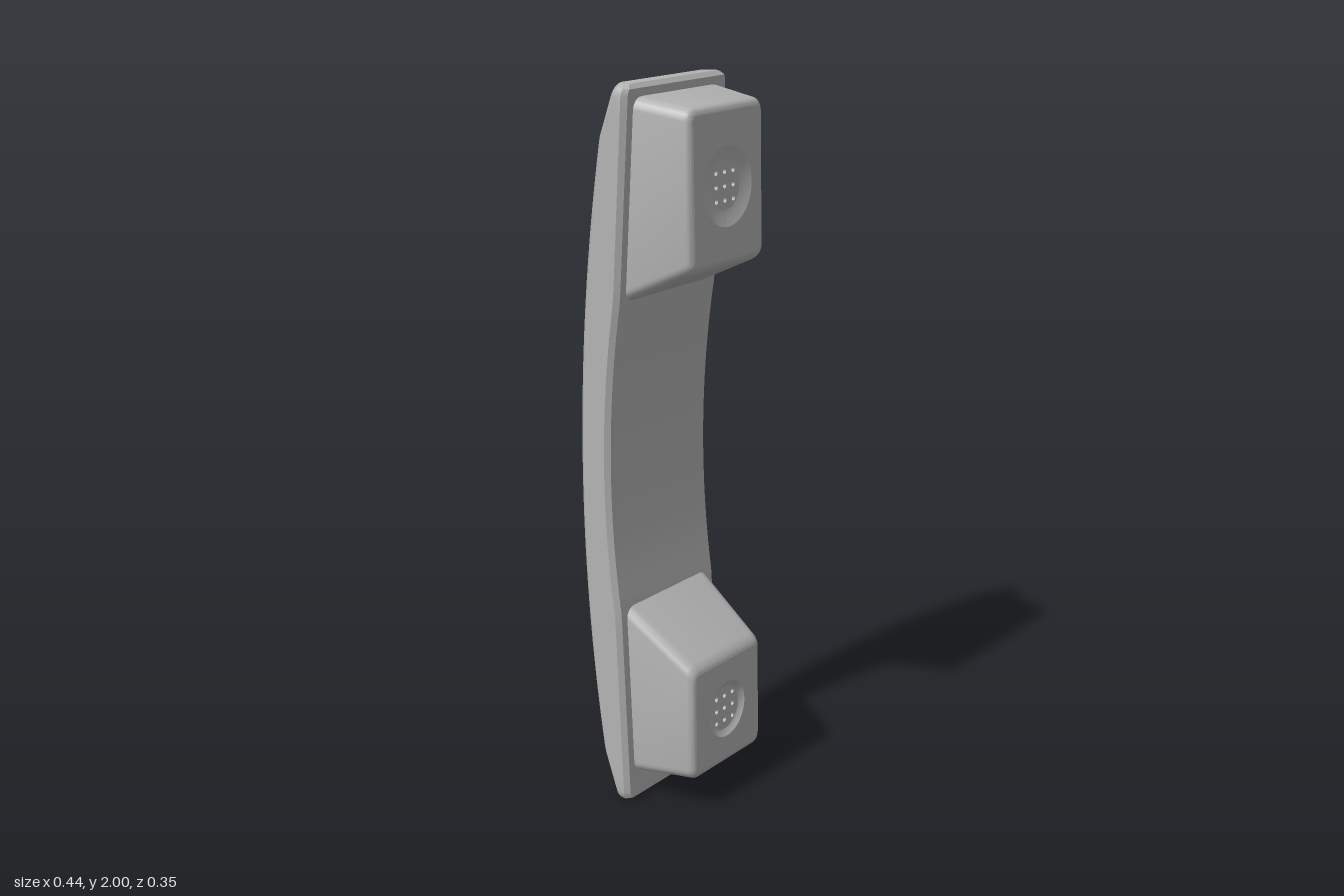
import * as THREE from 'three';
import { toCreasedNormals } from 'three/addons/utils/BufferGeometryUtils.js';

const grey = new THREE.MeshStandardMaterial({ color: 0xb3b3b3 });
grey.name = 'grey plastic';

const lerp = THREE.MathUtils.lerp;

// Skin a list of closed rings of [x, y, z]; optionally close both ends.
function loft(rings, caps) {
  const n = rings[0].length, index = [];
  for (let i = 0; i < rings.length - 1; i++) {
    for (let j = 0; j < n; j++) {
      const k = (j + 1) % n;
      const a = i * n + j, b = i * n + k, c = b + n, d = a + n;
      index.push(a, b, d, b, c, d);
    }
  }
  if (caps) {
    const top = (rings.length - 1) * n;
    for (let j = 1; j < n - 1; j++) index.push(0, j + 1, j, top, top + j, top + j + 1);
  }
  const geo = new THREE.BufferGeometry();
  geo.setAttribute('position', new THREE.Float32BufferAttribute(rings.flat(2), 3));
  geo.setIndex(index);
  return toCreasedNormals(geo, 0.4);
}

function part(name, geo) {
  const mesh = new THREE.Mesh(geo, grey);
  mesh.name = name;
  return mesh;
}

// Curved, bevelled handle built from cross-sections along y.
function makeHandle() {
  const ends = [0, 0.002, 0.006, 0.012, 0.02, 0.03, 0.08, 0.14];
  const ys = [...ends];
  for (let i = 1; i < 32; i++) ys.push(lerp(0.14, 1.86, i / 32));
  ys.push(...ends.map(e => 2 - e).reverse());
  const r = 0.03;
  const rings = ys.map(y => {
    const d = Math.abs(y - 1), e = 1 - d;
    const tilt = 0.005 * (y - 1) - 0.005;
    const corner = Math.max(0, r - e);
    const w = 0.22 - r + Math.sqrt(Math.max(0, r * r - corner * corner));
    let front = d < 0.44 ? -0.062 + 0.035 * (d / 0.44) ** 2 : -0.027 + 0.03 * (d - 0.44) / 0.56;
    front += tilt - Math.max(0, 0.012 - e);
    const back = tilt + (d < 0.86 ? -0.17 + 0.07 * (d / 0.86) ** 2 : -0.1 + 0.05 * (d - 0.86) / 0.14);
    const half = [[w - 0.014, front], [w, front - 0.012], [w, back + 0.025], [w - 0.025, back]];
    const loop = [...half, ...half.map(([x, z]) => [-x, z]).reverse()];
    return loop.map(([x, z]) => [x, y, z]);
  });
  return part('handle', loft(rings, true));
}

// Outline of a rounded rectangle, anticlockwise.
function roundedOutline(w, y0, y1, r) {
  const pts = [];
  const centres = [[w - r, y1 - r], [r - w, y1 - r], [r - w, y0 + r], [w - r, y0 + r]];
  centres.forEach(([cx, cy], q) => {
    for (let i = 0; i <= 5; i++) {
      const a = (q + i / 5) * Math.PI / 2;
      pts.push([cx + r * Math.cos(a), cy + r * Math.sin(a)]);
    }
  });
  return pts;
}

function circlePath(x, y, r, segments) {
  const pts = [];
  for (let i = 0; i < segments; i++) {
    const a = i / segments * Math.PI * 2;
    pts.push(new THREE.Vector2(x + r * Math.cos(a), y + r * Math.sin(a)));
  }
  return pts;
}

// Tapered pod with rounded edges, a dished face and a 3 x 3 set of sound holes.
// base and face: { w, y0, y1, z0, z1 }, z0 and z1 being the heights at y0 and y1.
function makePod(name, base, face, dishY, dishR) {
  const pod = new THREE.Group();
  pod.name = name;
  const edge = 0.018;
  const plane = (s, y) => {
    const z = (p) => lerp(p.z0, p.z1, (y - p.y0) / (p.y1 - p.y0));
    return lerp(z(base), z(face), s);
  };
  const outline = (s, inset) => {
    const v = k => lerp(base[k], face[k], s);
    return roundedOutline(v('w') - inset, v('y0') + inset, v('y1') - inset, 0.032 - inset);
  };
  // Each ring lies on a plane blended between the base and the face.
  const ring = (s, inset) => {
    const y0 = lerp(base.y0, face.y0, s), y1 = lerp(base.y1, face.y1, s);
    const z0 = lerp(base.z0, face.z0, s), z1 = lerp(base.z1, face.z1, s);
    return outline(s, inset).map(([x, y]) => [x, y, lerp(z0, z1, (y - y0) / (y1 - y0))]);
  };
  const rings = [ring(-0.06, 0)];
  for (let i = 0; i <= 6; i++) {
    const a = i / 6 * Math.PI / 2;
    rings.push(ring(1 - 0.1 * (1 - Math.sin(a)), edge * (1 - Math.cos(a))));
  }
  pod.add(part(name + 'Shell', loft(rings, false)));

  // Lay flat geometry onto the tilted face.
  const lay = geo => {
    const p = geo.attributes.position;
    for (let i = 0; i < p.count; i++) p.setZ(i, p.getZ(i) + plane(1, p.getY(i)));
    geo.computeVertexNormals();
    return geo;
  };
  const lathe = (points, segments, x, y, z) => {
    const geo = new THREE.LatheGeometry(points.map(p => new THREE.Vector2(...p)), segments);
    return lay(geo.rotateX(Math.PI / 2).translate(x, y, z));
  };

  const faceShape = new THREE.Shape(outline(1, edge).map(p => new THREE.Vector2(...p)));
  faceShape.holes.push(new THREE.Path(circlePath(0, dishY, dishR, 48)));
  pod.add(part(name + 'Face', lay(new THREE.ShapeGeometry(faceShape))));

  const floorR = 0.064, depth = 0.01;
  pod.add(part(name + 'Dish', lathe([[dishR, 0], [lerp(dishR, floorR, 0.5), -depth * 0.7], [floorR, -depth]], 48, 0, dishY, 0)));

  const floor = new THREE.Shape(circlePath(0, dishY, floorR, 48));
  for (const i of [-1, 0, 1]) {
    for (const j of [-1, 0, 1]) {
      const x = i * 0.037, y = dishY + j * 0.037;
      floor.holes.push(new THREE.Path(circlePath(x, y, 0.007, 12)));
      pod.add(part('soundHole', lathe([[0.007, 0], [0.007, -0.012], [0, -0.012]], 12, x, y, -depth)));
    }
  }
  pod.add(part(name + 'Grille', lay(new THREE.ShapeGeometry(floor).translate(0, 0, -depth))));
  return pod;
}

export function createModel() {
  const model = new THREE.Group();
  model.name = 'handset';
  model.add(makeHandle());
  model.add(makePod('earpiece',
    { w: 0.183, y0: 1.437, y1: 1.967, z0: -0.03, z1: 0 },
    { w: 0.16, y0: 1.53, y1: 1.945, z0: 0.168, z1: 0.157 }, 1.735, 0.105));
  model.add(makePod('mouthpiece',
    { w: 0.183, y0: 0.083, y1: 0.575, z0: -0.01, z1: -0.037 },
    { w: 0.16, y0: 0.103, y1: 0.43, z0: 0.178, z1: 0.173 }, 0.265, 0.082));
  return model;
}
